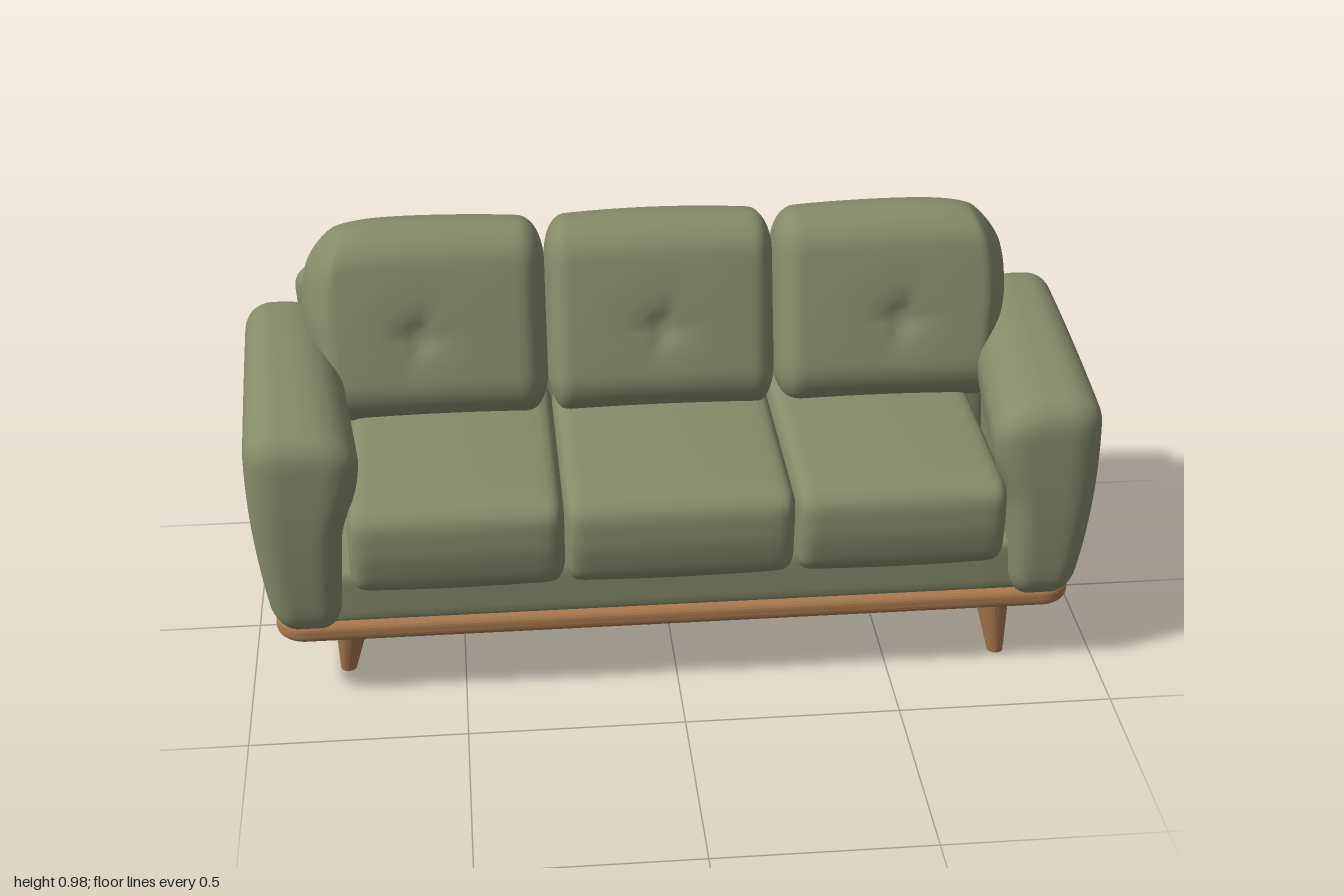
import * as THREE from 'three';
import { mergeVertices } from 'three/addons/utils/BufferGeometryUtils.js';

const fabric = new THREE.MeshStandardMaterial({ name: 'olive fabric', color: 0x868b6b });
const wood = new THREE.MeshStandardMaterial({ name: 'warm wood', color: 0xaa7a4f });

// Upholstered block: a dense box with elliptical rounded edges, then reshaped by a rule.
// The rule gets the point p and its normalised position u, v, w (-1..1 on each axis).
function softBlock(name, half, radius, segments, rule) {
  const geo = new THREE.BoxGeometry(2, 2, 2, segments, segments, segments);
  geo.deleteAttribute('uv');
  geo.deleteAttribute('normal');
  geo.clearGroups();
  const pos = geo.attributes.position;
  const p = new THREE.Vector3(), d = new THREE.Vector3(), inner = new THREE.Vector3();
  const axes = ['x', 'y', 'z'];
  for (let i = 0; i < pos.count; i++) {
    p.fromBufferAttribute(pos, i);
    axes.forEach((a, k) => {
      // rows crowd toward the edges so that the rounding stays smooth
      const q = Math.sin(p[a] * Math.PI / 2) * half[k];
      const limit = half[k] - radius[k];
      inner[a] = THREE.MathUtils.clamp(q, -limit, limit);
      d[a] = (q - inner[a]) / radius[k];
    });
    d.normalize();
    axes.forEach((a, k) => { p[a] = inner[a] + d[a] * radius[k]; });
    if (rule) rule(p, p.x / half[0], p.y / half[1], p.z / half[2]);
    pos.setXYZ(i, p.x, p.y, p.z);
  }
  const smooth = mergeVertices(geo, 1e-5);
  smooth.computeVertexNormals();
  const mesh = new THREE.Mesh(smooth, fabric);
  mesh.name = name;
  return mesh;
}

// Arm: toes in toward the front, flares at the top inside, tucks in at the bottom outside
function makeArm(side) {
  const arm = softBlock(side > 0 ? 'leftArm' : 'rightArm', [0.115, 0.262, 0.38], [0.075, 0.07, 0.065], 26, (p, u0, v, w) => {
    const u = u0 * side;
    const outer = 0.988 - 0.018 * w - 0.045 * ((0.6 - v) / 1.6) ** 2;
    const flare = THREE.MathUtils.smoothstep(v, -0.1, 0.6);
    const inside = 0.785 - 0.043 * w - 0.035 * flare + 0.03 * (1 - v) / 2;
    p.x = side * THREE.MathUtils.lerp(inside, outer, (u + 1) / 2);
    const top = Math.max(v, 0);
    p.y += top * (0.008 - 0.035 * Math.max(-u, 0) ** 1.5 - 0.012 * w * w);
    p.z += 0.012 * w * (1 - v * v) - 0.004;
  });
  arm.position.set(0, 0.457, -0.008);
  return arm;
}

// Seat cushion: crowned top and softly bulging front
function makeSeatCushion(x, width) {
  const seat = softBlock('seatCushion', [width / 2, 0.112, 0.325], [0.035, 0.05, 0.06], 22, (p, u, v, w) => {
    p.y += 0.010 * v * (1 - u * u) * (1 - w * w * 0.5);
    if (w > 0) p.z += 0.012 * w * (1 - v * v) * (1 - 0.4 * u * u) - 0.012 * w * Math.max(-v, 0);
  });
  seat.position.set(x, 0.428, 0.082);
  return seat;
}

// Back cushion: leaning, with a pinched button dimple; end cushions round off outward
function makeBackCushion(x, width, end) {
  const cushion = softBlock('backCushion', [width / 2, 0.24, 0.115], [end ? 0.06 : 0.05, 0.1, 0.095], 36, (p, u, v, w) => {
    const dimpleY = p.y + 0.03;
    const r = Math.hypot(p.x, dimpleY);
    if (w > 0) {
      const folds = 1 + 0.25 * Math.cos(4 * Math.atan2(dimpleY, p.x) + 0.8) * Math.min(r / 0.03, 1);
      p.z += w * (0.012 * (1 - u * u) * (1 - v * v) - 0.034 * folds * Math.exp(-r / 0.04));
    }
    p.y -= 0.012 * u * u * Math.max(v, 0);
    const out = Math.max(u * end, 0);
    p.x -= end * out * out * (0.03 * (w + 1) + 0.06 * Math.max(v, 0) ** 3 + 0.03 * Math.max(-v, 0));
    p.y -= 0.02 * out ** 3 * Math.max(v, 0);
  });
  cushion.position.set(x, 0.742, -0.175);
  cushion.rotation.x = -0.27;
  return cushion;
}

// Wooden plinth with rounded corners and edges
function makePlinth() {
  const hx = 0.912, hz = 0.328, r = 0.05;
  const s = new THREE.Shape();
  s.absarc(hx - r, hz - r, r, 0, Math.PI / 2);
  s.absarc(-hx + r, hz - r, r, Math.PI / 2, Math.PI);
  s.absarc(-hx + r, -hz + r, r, Math.PI, Math.PI * 1.5);
  s.absarc(hx - r, -hz + r, r, Math.PI * 1.5, Math.PI * 2);
  const geo = new THREE.ExtrudeGeometry(s, {
    depth: 0.012, bevelEnabled: true, bevelSize: 0.021, bevelThickness: 0.019, bevelSegments: 5, curveSegments: 8,
  });
  geo.rotateX(-Math.PI / 2);
  const mesh = new THREE.Mesh(geo, wood);
  mesh.name = 'plinth';
  mesh.position.set(0, 0.184, -0.005);
  return mesh;
}

// Tapered leg running from its top centre to its foot centre
function makeLeg(name, topX, topZ, footX, footZ) {
  const height = 0.18;
  const geo = new THREE.CylinderGeometry(0.046, 0.019, height, 24);
  const pos = geo.attributes.position;
  for (let i = 0; i < pos.count; i++) {
    const t = pos.getY(i) / height + 0.5;
    pos.setX(i, pos.getX(i) + THREE.MathUtils.lerp(footX, topX, t));
    pos.setZ(i, pos.getZ(i) + THREE.MathUtils.lerp(footZ, topZ, t));
  }
  geo.computeVertexNormals();
  const leg = new THREE.Mesh(geo, wood);
  leg.name = name;
  leg.position.y = height / 2 + 0.003;
  return leg;
}

export function createModel() {
  const sofa = new THREE.Group();
  sofa.name = 'sofa';

  // Wooden base
  sofa.add(
    makePlinth(),
    makeLeg('frontLeftLeg', 0.757, 0.248, 0.775, 0.265),
    makeLeg('frontRightLeg', -0.757, 0.225, -0.779, 0.2),
    makeLeg('backLeftLeg', 0.838, -0.28, 0.86, -0.29),
    makeLeg('backRightLeg', -0.845, -0.282, -0.867, -0.298),
  );

  // Seat deck under the cushions
  const deck = softBlock('seatDeck', [0.82, 0.07, 0.335], [0.03, 0.025, 0.025], 12);
  deck.position.set(0, 0.275, -0.005);
  sofa.add(deck);

  // Back panel, leaning and narrowing toward the bottom
  const back = softBlock('backPanel', [0.878, 0.302, 0.054], [0.055, 0.05, 0.05], 26, (p, u, v, w) => {
    p.x *= 1 - 0.022 * (1 - v);
    p.z -= 0.022 * v + 0.012 * (1 - v * v) - 0.004 * u * u;
    p.y -= 0.008 * u * u * Math.max(v, 0);
  });
  back.position.set(0, 0.505, -0.341);
  sofa.add(back);

  // Arms and cushions
  for (const side of [1, -1]) {
    sofa.add(makeArm(side));
    sofa.add(makeSeatCushion(side * 0.507, 0.488));
    sofa.add(makeBackCushion(side * 0.573, 0.6, side));
  }
  sofa.add(makeSeatCushion(0, 0.526), makeBackCushion(0, 0.544, 0));
  return sofa;
}
